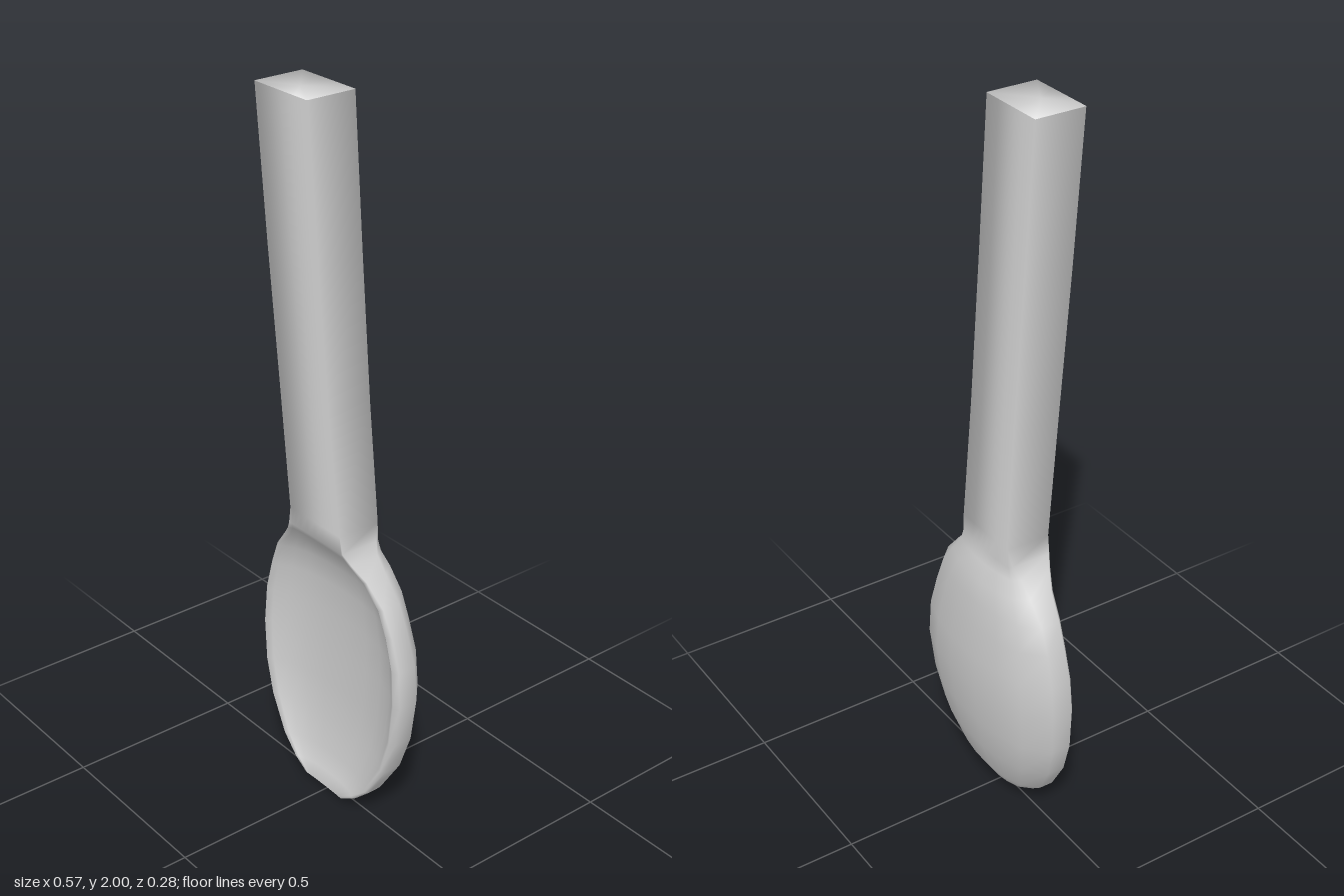
import * as THREE from 'three';

// Cross-sections from tip to handle end:
// y, centre x, half width, front z, back z, dish floor z, squareness (0 bowl, 1 handle)
const SECTIONS = [
  [0.005, 0.00, 0.035, 0.015, -0.010, 0.015, 0],
  [0.02, 0.00, 0.08, 0.036, -0.025, 0.034, 0],
  [0.05, 0.00, 0.13, 0.036, -0.046, 0.013, 0],
  [0.10, 0.00, 0.185, 0.034, -0.076, -0.008, 0],
  [0.20, 0.00, 0.245, 0.030, -0.110, -0.028, 0],
  [0.30, 0.00, 0.276, 0.027, -0.128, -0.038, 0],
  [0.42, 0.00, 0.287, 0.024, -0.141, -0.044, 0],
  [0.52, -0.002, 0.279, 0.020, -0.138, -0.046, 0],
  [0.61, -0.006, 0.252, 0.017, -0.130, -0.044, 0],
  [0.68, -0.008, 0.222, 0.018, -0.121, -0.034, 0.05],
  [0.74, -0.01, 0.170, 0.027, -0.108, -0.005, 0.2],
  [0.78, -0.01, 0.131, 0.044, -0.086, 0.030, 0.5],
  [0.81, -0.007, 0.110, 0.056, -0.074, 0.054, 0.8],
  [0.86, -0.006, 0.101, 0.058, -0.069, 0.058, 1],
  [1.20, -0.013, 0.096, 0.083, -0.050, 0.083, 1],
  [1.60, -0.018, 0.097, 0.111, -0.026, 0.111, 1],
  [2.00, -0.020, 0.098, 0.138, -0.002, 0.138, 1],
];
const FIRST_HANDLE = 12;

// Half outline, front centre to back centre: [across, dish depth, front-to-back]
const BOWL = [[0, 1, 0], [0.3, 0.95, 0], [0.55, 0.8, 0], [0.76, 0.52, 0], [0.89, 0.17, 0], [0.95, 0, 0],
  [1, 0, 0.07], [0.995, 0, 0.42], [0.78, 0, 0.77], [0.5, 0, 0.93], [0.2, 0, 1], [0, 0, 1]];
const HANDLE = [[0, 1, 0], [0.3, 1, 0], [0.55, 1, 0], [0.75, 1, 0], [0.88, 1, 0], [0.99, 0, 0],
  [1, 0, 0.01], [1, 0, 0.99], [0.99, 0, 1], [0.5, 0, 1], [0.2, 0, 1], [0, 0, 1]];

// Closed loop of points for one section, mirrored across its centre
function ring([y, cx, w, front, back, floor, square]) {
  const half = BOWL.map((p, i) => {
    const [u, d, v] = p.map((n, k) => THREE.MathUtils.lerp(n, HANDLE[i][k], square));
    return [u * w, front + d * (floor - front) + v * (back - front)];
  });
  const mirrored = half.slice(1, -1).reverse().map(([x, z]) => [-x, z]);
  return [...half, ...mirrored].map(([x, z]) => new THREE.Vector3(cx + x, y, z));
}

// Triangles joining consecutive rings
function bandIndex(from, to, n) {
  const index = [];
  for (let i = from; i < to; i++) {
    for (let j = 0; j < n; j++) {
      const a = i * n + j, b = i * n + (j + 1) % n;
      index.push(a, b, b + n, a, b + n, a + n);
    }
  }
  return index;
}

// End closed with a fan, shaded softly towards its border
function capGeometry(points, up) {
  const centre = new THREE.Vector3();
  points.forEach((p) => centre.addScaledVector(p, 1 / points.length));
  const index = [];
  const normals = [0, up, 0];
  points.forEach((p, j) => {
    const a = j + 1, b = (j + 1) % points.length + 1;
    index.push(0, ...(up > 0 ? [a, b] : [b, a]));
    const normal = p.clone().sub(centre).normalize().setY(up).normalize();
    normals.push(...normal.toArray());
  });
  const geometry = new THREE.BufferGeometry().setFromPoints([centre, ...points]);
  geometry.setAttribute('normal', new THREE.Float32BufferAttribute(normals, 3));
  return geometry.setIndex(index);
}

export function createModel() {
  const group = new THREE.Group();
  group.name = 'spoon';
  const material = new THREE.MeshStandardMaterial({ color: 0xcccccc });
  const add = (name, geometry) => {
    const mesh = new THREE.Mesh(geometry, material);
    mesh.name = name;
    group.add(mesh);
  };

  const rings = SECTIONS.map(ring);
  const n = rings[0].length;
  const last = rings.length - 1;

  // Normals are computed over the whole skin so bowl and handle blend smoothly
  const skin = new THREE.BufferGeometry().setFromPoints(rings.flat());
  skin.setIndex(bandIndex(0, last, n));
  skin.computeVertexNormals();

  // The handle is square but shaded softly around its corners
  const normal = new THREE.Vector3();
  for (let i = FIRST_HANDLE + 1; i <= last; i++) {
    const [, cx, w, front, back] = SECTIONS[i];
    rings[i].forEach((p, j) => {
      normal.set((p.x - cx) / w, 0, (2 * p.z - front - back) / (front - back)).normalize();
      skin.attributes.normal.setXYZ(i * n + j, normal.x, normal.y, normal.z);
    });
  }

  const part = (from, to) => skin.clone().setIndex(bandIndex(from, to, n));
  add('bowl', part(0, FIRST_HANDLE));
  add('handle', part(FIRST_HANDLE, last));
  add('bowlTip', capGeometry(rings[0], -1));
  add('handleEnd', capGeometry(rings[last], 1));
  return group;
}
